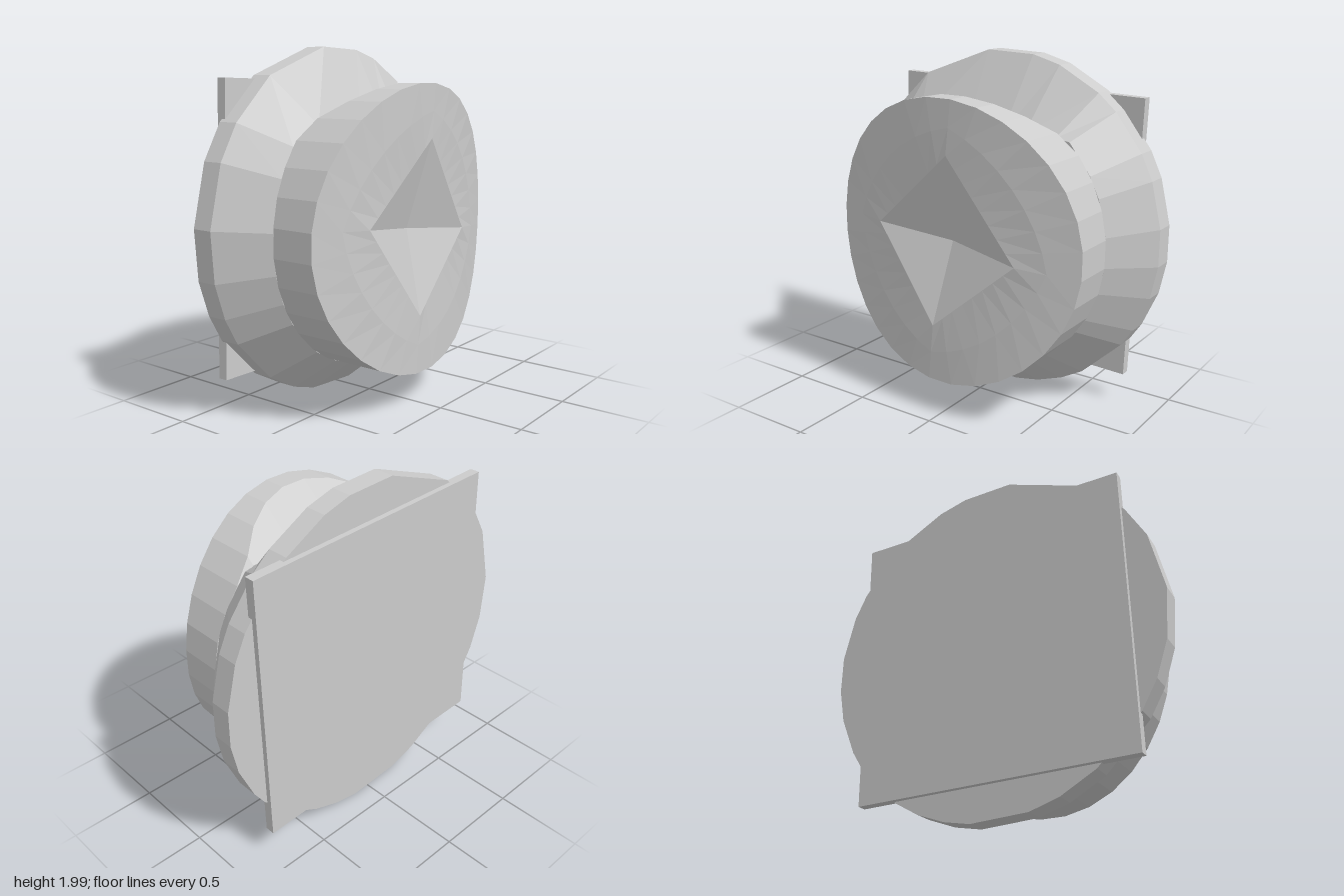
import * as THREE from 'three';

const material = new THREE.MeshStandardMaterial({ color: 0xcccccc, flatShading: true, side: THREE.DoubleSide });
const CY = 1;          // height of the axis
const NECK = 0.8;      // radius of the knob and neck
const NOTCH = 1.58;    // height of the flat cut across the top of the neck

// Skin a sequence of equal-length closed rings, ordered front centre to back centre
function loft(name, rings) {
  const pos = [];
  const tri = (...pts) => {
    const [a, b, c] = pts;
    const area = b.clone().sub(a).cross(c.clone().sub(a)).length();
    if (area > 1e-7) pts.forEach((p) => pos.push(p.x, p.y, p.z));
  };
  for (let r = 0; r + 1 < rings.length; r++) {
    const n = rings[r].length;
    for (let i = 0; i < n; i++) {
      const j = (i + 1) % n;
      tri(rings[r][i], rings[r + 1][i], rings[r][j]);
      tri(rings[r][j], rings[r + 1][i], rings[r + 1][j]);
    }
  }
  const geometry = new THREE.BufferGeometry();
  geometry.setAttribute('position', new THREE.Float32BufferAttribute(pos, 3));
  geometry.computeVertexNormals();
  const mesh = new THREE.Mesh(geometry, material);
  mesh.name = name;
  return mesh;
}

const v = (x, y, z) => new THREE.Vector3(x, y, z);
const polar = (deg, radius, z) => {
  const a = THREE.MathUtils.degToRad(deg);
  return v(radius * Math.cos(a), CY + radius * Math.sin(a), z);
};
const notched = (p) => v(p.x, Math.min(p.y, NOTCH), p.z);

// Front surface bends backwards towards the left and right sides
const faceZ = (x) => 0.39 - 0.14 * (x / NECK) ** 2;

function createKnob() {
  const perSide = 8;
  const angles = Array.from({ length: 4 * perSide }, (_, i) => -6 + (i * 90) / perSide);
  const corners = [[0.45, 0.95], [0.05, 1.5], [-0.45, 1.06], [-0.05, 0.53]]
    .map(([x, y]) => v(x, y, faceZ(x)));

  // Four-sided dent in the middle of the face
  const centre = angles.map(() => v(0, 1, 0.26));
  const diamond = angles.map((_, i) => {
    const k = Math.floor(i / perSide);
    return corners[k].clone().lerp(corners[(k + 1) % 4], (i % perSide) / perSide);
  });

  // Bent face, side wall, and the sloping cut down to the notch
  const rim = angles.map((a) => {
    const p = polar(a, NECK, 0);
    return p.setZ(faceZ(p.x));
  });
  const middle = rim.map((p, i) => {
    const m = p.clone().lerp(diamond[i], 0.5);
    return m.setZ(faceZ(m.x));
  });
  const wallBack = rim.map((p) => v(p.x, p.y, Math.max(0, (p.y - NOTCH) / 0.22 * 0.26)));
  const neck = rim.map((p) => notched(v(p.x, p.y, 0)));
  return loft('knob', [centre, diamond, middle, rim, wallBack, neck]);
}

function createFlange() {
  // Uneven facets around the flared collar
  const angles = [-6, 6, 21, 30, 45, 53, 69, 79, 96, 123, 143, 156, 176, 192, 204, 214,
    234, 247, 257, 276, 285, 295, 304, 323, 330, 343];
  const neck = angles.map((a) => notched(polar(a, NECK, 0)));
  const front = angles.map((a) => polar(a, 1, -0.24));
  const back = angles.map((a) => polar(a, 1, -0.36));
  const backCentre = angles.map(() => v(0, CY, -0.36));
  return loft('flange', [neck, front, back, backCentre]);
}

export function createModel() {
  const group = new THREE.Group();
  group.name = 'knobOnPlate';
  group.add(createKnob(), createFlange());

  // Square plate behind, turned slightly
  const plate = new THREE.Mesh(new THREE.BoxGeometry(1.605, 1.605, 0.055), material);
  plate.name = 'backPlate';
  plate.position.set(0, CY, -0.3625);
  plate.rotation.z = THREE.MathUtils.degToRad(-1.8);
  group.add(plate);
  return group;
}
